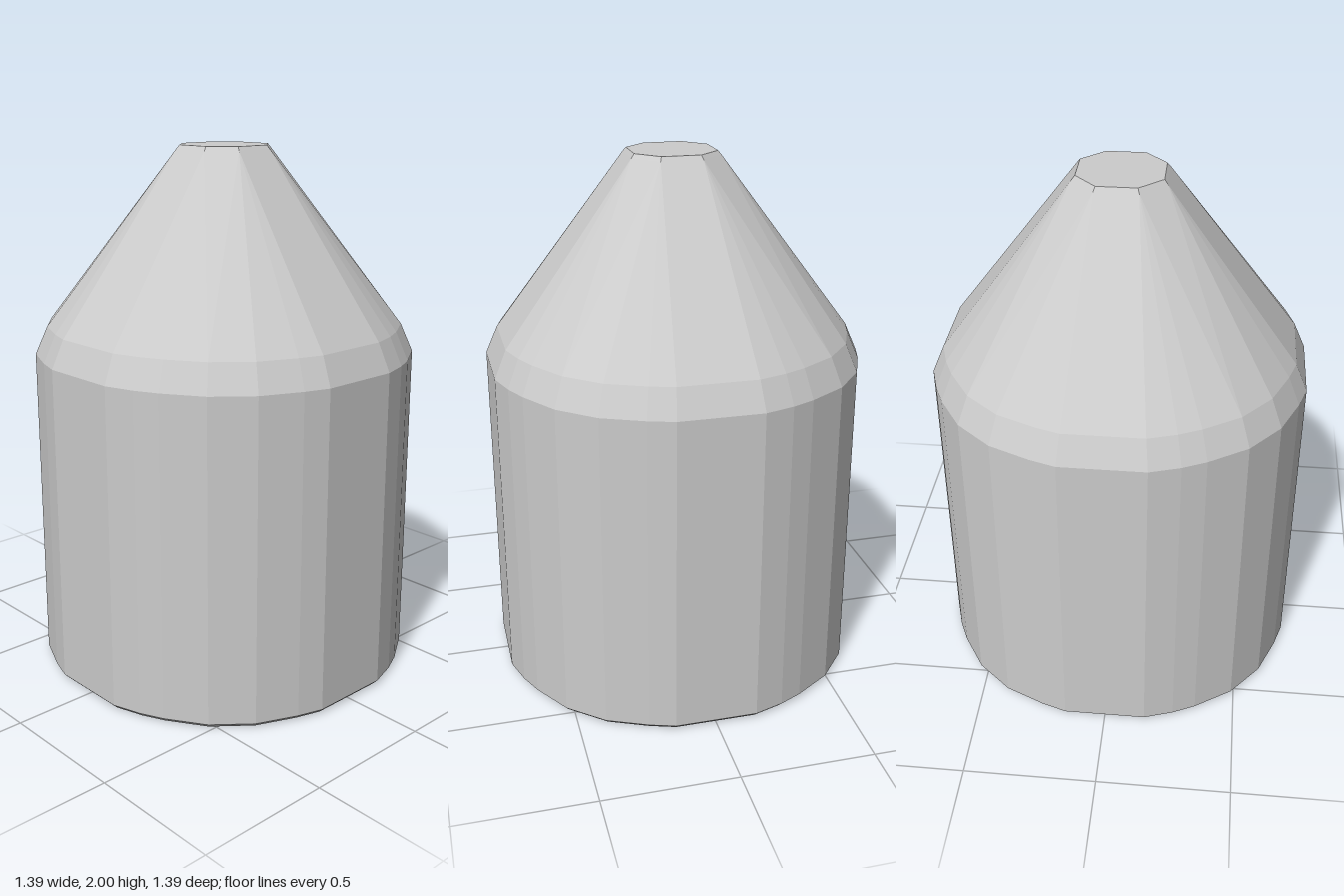
import * as THREE from 'three';
import { ConvexGeometry } from 'three/addons/geometries/ConvexGeometry.js';

// One quarter of the many-sided wall outline and of the octagonal tip, as [x, z]
const wallQuarter = [[0.155, -0.695], [0.25, -0.665], [0.4, -0.6], [0.53, -0.49], [0.62, -0.35], [0.66, -0.265], [0.695, -0.155]];
const tipQuarter = [[0.08, -0.165], [0.165, -0.075]];

// Repeat a quarter outline around the y axis at a given height and scale
function ring(quarter, y, scale) {
  const points = [];
  for (let i = 0; i < 4; i++) {
    for (const [x, z] of quarter) {
      const p = new THREE.Vector3(x * scale, y, z * scale);
      for (let k = 0; k < i; k++) p.set(-p.z, y, p.x);
      points.push(p);
    }
  }
  return points;
}

export function createModel() {
  const group = new THREE.Group();
  const material = new THREE.MeshStandardMaterial({ color: 0xcccccc, flatShading: true });

  // Closed faceted solid: bevelled base, straight wall, rounded shoulder, cone and flat tip
  const points = [
    ...ring(wallQuarter, 0, 0.976),
    ...ring(wallQuarter, 0.017, 1),
    ...ring(wallQuarter, 1.23, 1),
    ...ring(wallQuarter, 1.335, 0.935),
    ...ring(tipQuarter, 1.985, 1),
    ...ring(tipQuarter, 2, 0.93),
  ];
  const body = new THREE.Mesh(new ConvexGeometry(points), material);
  body.name = 'pointedCylinderBody';
  group.add(body);
  return group;
}
